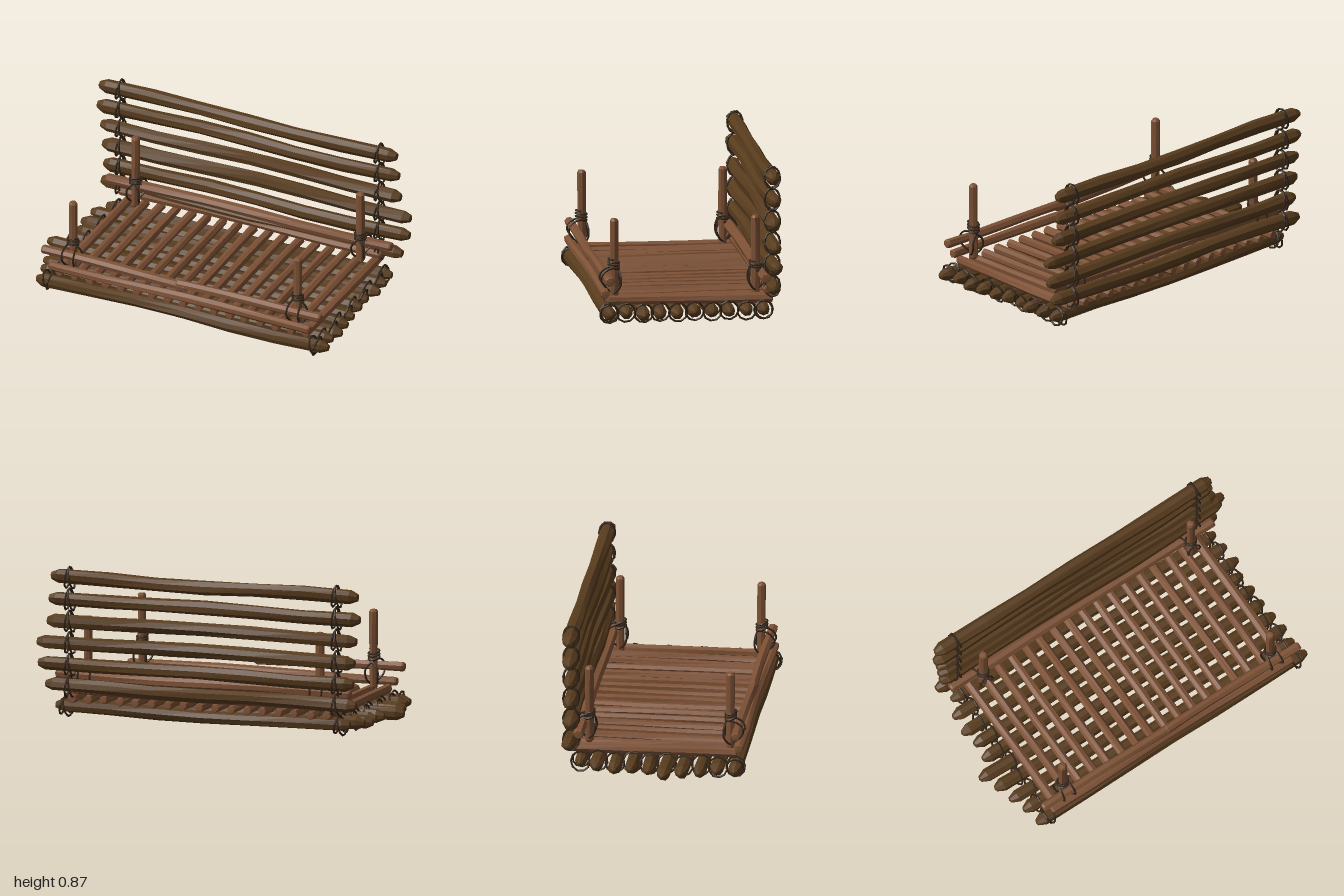
import * as THREE from 'three';

const bark = new THREE.MeshStandardMaterial({ color: 0x573b1d, flatShading: true });
const wood = new THREE.MeshStandardMaterial({ color: 0x7d5135, flatShading: true });
const rope = new THREE.MeshStandardMaterial({ color: 0x33261a, flatShading: true });

let seed = 7;
const rand = () => (seed = (seed * 16807) % 2147483647) / 2147483647;
const v = (x, y, z) => new THREE.Vector3(x, y, z);

// Hand-cut pole between two points: wobbly facets and chamfered ends
function pole(name, a, b, r, mat, { sides = 8, cut = 0.02, tip = 0.6, wobble = 0.006, rings = 6 } = {}) {
  const len = a.distanceTo(b);
  const profile = [new THREE.Vector2(0, -len / 2), new THREE.Vector2(r * tip, -len / 2 + cut * 0.15)];
  for (let i = 0; i <= rings; i++) {
    const k = r * (0.95 + 0.12 * rand());
    profile.push(new THREE.Vector2(k, -len / 2 + cut + (len - 2 * cut) * i / rings));
  }
  profile.push(new THREE.Vector2(r * tip, len / 2 - cut * 0.15), new THREE.Vector2(0, len / 2));
  const geo = new THREE.LatheGeometry(profile, sides);
  const p = geo.attributes.position;
  const s = rand() * 6.28;
  for (let i = 0; i < p.count; i++) {
    const x = p.getX(i), y = p.getY(i), z = p.getZ(i);
    const ang = Math.atan2(z, x);
    const k = 1 + 0.06 * Math.sin(3 * ang + s + y * 4);
    p.setXYZ(i, x * k + wobble * Math.sin(y * 5 + s), y, z * k + wobble * Math.cos(y * 4 + s * 2));
  }
  geo.rotateY(s);
  geo.computeVertexNormals();
  const mesh = new THREE.Mesh(geo, mat);
  mesh.name = name;
  mesh.position.copy(a).add(b).multiplyScalar(0.5);
  mesh.quaternion.setFromUnitVectors(v(0, 1, 0), b.clone().sub(a).normalize());
  return mesh;
}

function cord(name, points, closed, segments, r = 0.006) {
  const curve = new THREE.CatmullRomCurve3(points, closed);
  const mesh = new THREE.Mesh(new THREE.TubeGeometry(curve, segments, r, 5, closed), rope);
  mesh.name = name;
  return mesh;
}

// Closed rope loop around an x-directed log; skew leans it along x
function loop(name, c, rz, ry, skew, tilt = 0) {
  const pts = [];
  for (let i = 0; i < 8; i++) {
    const t = i / 8 * Math.PI * 2 + tilt;
    pts.push(v(c.x + skew * Math.sin(t), c.y + ry * Math.sin(t), c.z + rz * Math.cos(t)));
  }
  return cord(name, pts, true, 10);
}

export function createModel() {
  const model = new THREE.Group();
  const group = name => {
    const g = new THREE.Group();
    g.name = name;
    model.add(g);
    return g;
  };

  // Floor logs with lashings near both ends
  const floor = group('floorLogs');
  const lashings = group('lashings');
  const floorEnds = [[-0.87, 0.91], [-0.92, 0.92], [-0.93, 0.93], [-0.91, 0.9], [-0.92, 0.91],
    [-1, 0.91], [-0.96, 0.92], [-0.93, 0.93], [-0.9, 0.92], [-0.88, 0.94]];
  floorEnds.forEach(([l, r], i) => {
    const z = -0.407 + i * 0.0965;
    floor.add(pole('floorLog', v(l, 0.066, z), v(r, 0.066, z), 0.037, bark, { cut: 0.05, tip: 0.5 }));
    for (const x of [-0.8, 0.85]) {
      const wave = i % 2 ? 0.012 : -0.012;
      lashings.add(loop('floorLashing', v(x + wave, 0.066, z), 0.053, 0.055, 0.014, i));
      if (i === 0 || i === 9) lashings.add(loop('floorLashing', v(x - wave, 0.07, z), 0.048, 0.05, -0.012, 0.4));
    }
  });

  // Back wall of stacked logs
  const wall = group('backWall');
  const wallEnds = [[-0.93, 0.95], [-0.91, 0.99], [-0.92, 1], [-0.93, 0.94], [-0.95, 0.925], [-0.94, 0.915]];
  wallEnds.forEach(([l, r], i) => {
    const y = 0.192 + i * 0.1228;
    wall.add(pole('wallLog', v(l, y, -0.46), v(r, y, -0.46), 0.039, bark, { cut: 0.05, tip: 0.55 }));
    for (const x of [-0.805, 0.8]) {
      lashings.add(loop('wallLashing', v(x - 0.01, y, -0.462), 0.043, 0.063, 0.012, i));
      lashings.add(loop('wallLashing', v(x + 0.012, y, -0.46), 0.044, 0.061, -0.01, 0.4 + i));
    }
  });

  // Deck rods, the outer two a little heavier
  const deck = group('deck');
  for (let i = 0; i < 17; i++) {
    const x = -0.74 + i * 0.0956;
    const outer = i === 0 || i === 16;
    deck.add(pole('deckRod', v(x, outer ? 0.127 : 0.122, -0.465), v(x, outer ? 0.127 : 0.122, 0.465),
      outer ? 0.028 : 0.025, wood, { sides: 7, cut: 0.008, tip: 0.85, wobble: 0.003, rings: 3 }));
  }

  // Rails along the front and back edges
  const rails = group('rails');
  const railStyle = { sides: 7, cut: 0.012, tip: 0.8, wobble: 0.004 };
  rails.add(
    pole('frontLowerRail', v(-0.79, 0.172, 0.475), v(0.83, 0.172, 0.475), 0.027, wood, railStyle),
    pole('frontUpperRail', v(-0.84, 0.255, 0.465), v(0.06, 0.244, 0.462), 0.026, wood, railStyle),
    pole('frontUpperRail', v(-0.01, 0.244, 0.462), v(0.89, 0.255, 0.462), 0.026, wood, railStyle),
    pole('backLowerRail', v(-0.8, 0.172, -0.44), v(0.83, 0.172, -0.44), 0.028, wood, railStyle),
    pole('backUpperRail', v(-0.87, 0.247, -0.415), v(0.9, 0.247, -0.415), 0.03, wood, railStyle));

  // Corner posts, each tied to its rails
  const posts = group('posts');
  for (const x of [-0.672, 0.722]) {
    for (const [z, out] of [[0.42, 1], [-0.375, -1]]) {
      posts.add(pole('post', v(x, 0.13, z), v(x, 0.582, z), 0.024, wood,
        { cut: 0.014, tip: 0.7, wobble: 0.002, rings: 3 }));
      const coil = [];
      const top = out > 0 ? 0.35 : 0.32;
      for (let i = 0; i <= 24; i++) {
        const t = i / 24 * Math.PI * 6;
        coil.push(v(x + 0.031 * Math.cos(t), top - 0.05 * i / 24 + 0.007 * Math.sin(t), z + 0.031 * Math.sin(t)));
      }
      posts.add(cord('postCoil', coil, false, 40));
      // Two crossing loops around post and rails
      for (const s of [-1, 1]) {
        const tie = [[0.02, 0.3, -0.015], [0.034, 0.29, 0.045], [0.036, 0.245, 0.075], [0.03, 0.2, 0.05],
          [-0.02, 0.16, 0], [-0.036, 0.2, -0.034], [-0.034, 0.25, -0.036]]
          .map(([dx, y, dz]) => v(x + s * dx, y, z + out * dz));
        posts.add(cord('railTie', tie, true, 24));
      }
    }
  }
  return model;
}
